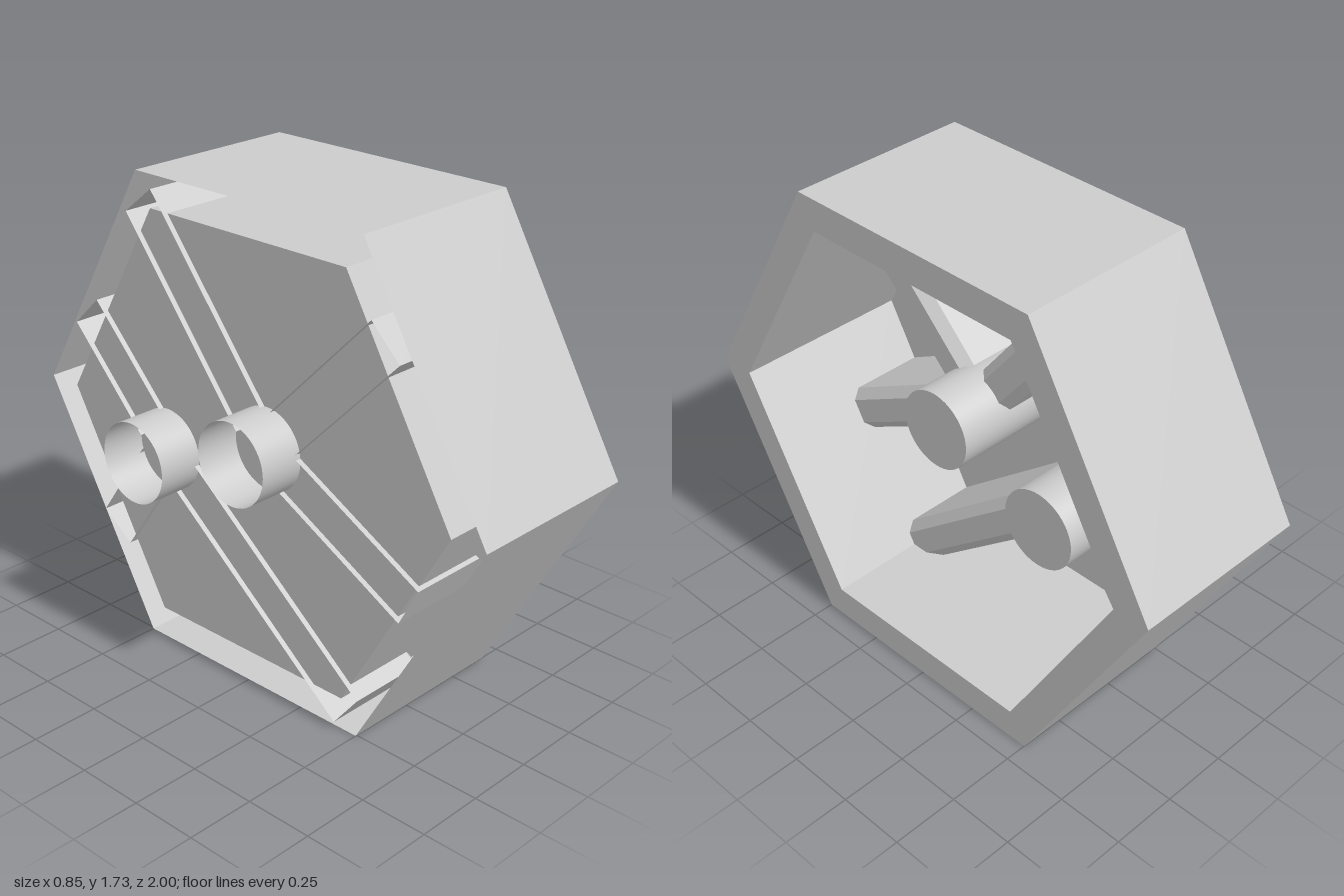
import * as THREE from 'three';

const material = new THREE.MeshStandardMaterial({ color: 0xcccccc, flatShading: true, side: THREE.DoubleSide });
const smooth = new THREE.MeshStandardMaterial({ color: 0xcccccc, side: THREE.DoubleSide });

const BACK = -0.255, FRONT = 0.42, MID_Y = 0.866;

function add(parent, name, geometry, mat = material) {
  const mesh = new THREE.Mesh(geometry, mat);
  mesh.name = name;
  parent.add(mesh);
  return mesh;
}

// Open-backed spoke with chamfered top edges, running between two [z, y] points
function spokeGeometry([z0, y0], [z1, y1]) {
  const w = 0.08, c = 0.035, base = -0.275, top = 0.06;
  const profile = [[-w, base], [-w, top - c], [-w + c, top], [w - c, top], [w, top - c], [w, base]];
  const length = Math.hypot(z1 - z0, y1 - y0);
  const dz = (z1 - z0) / length, dy = (y1 - y0) / length;
  const point = (s, [t, x]) => [x, y0 + dy * s + dz * t, z0 + dz * s - dy * t];
  const start = 0.1, positions = [];
  for (let i = 0; i < profile.length - 1; i++) {
    const a = point(start, profile[i]), b = point(start, profile[i + 1]);
    const d = point(length, profile[i]), e = point(length, profile[i + 1]);
    positions.push(...a, ...d, ...b, ...b, ...d, ...e);
  }
  // Outer end cap
  for (let i = 1; i < profile.length - 1; i++) {
    positions.push(...point(length, profile[0]), ...point(length, profile[i + 1]), ...point(length, profile[i]));
  }
  const geometry = new THREE.BufferGeometry();
  geometry.setAttribute('position', new THREE.Float32BufferAttribute(positions, 3));
  geometry.computeVertexNormals();
  return geometry;
}

export function createModel() {
  const model = new THREE.Group();
  model.name = 'hexagonalHousing';

  // Hollow hexagonal rim: outer wall, front lip, inner wall and back panel
  const section = [[1, BACK], [1, FRONT], [0.866, FRONT], [0.866, BACK], [0, BACK]]
    .map(([r, h]) => new THREE.Vector2(r, h));
  const shell = add(model, 'hexagonalShell', new THREE.LatheGeometry(section, 6));
  shell.rotation.z = -Math.PI / 2;
  shell.position.y = MID_Y;

  // Two hubs, each with three spokes; all points are [z, y]
  const hubs = [
    { centre: [0.1, 0.92], ends: [[-0.47, 1.64], [0.61, 1.43], [0.725, 0.585]] },
    { centre: [-0.375, 0.77], ends: [[-0.765, 1.18], [-0.65, 0.38], [0.47, 0.09]] },
  ];
  hubs.forEach(({ centre, ends }, i) => {
    const hub = new THREE.Group();
    hub.name = i === 0 ? 'frontHub' : 'rearHub';
    model.add(hub);

    // Tube, open at the back and closed at the front
    const r = 0.147, x0 = -0.425, x1 = 0.237;
    const tube = add(hub, 'hubTube', new THREE.CylinderGeometry(r, r, x1 - x0, 48, 1, true), smooth);
    tube.rotation.z = -Math.PI / 2;
    tube.position.set((x0 + x1) / 2, centre[1], centre[0]);
    const cap = add(hub, 'hubCap', new THREE.CircleGeometry(r, 48));
    cap.rotation.y = Math.PI / 2;
    cap.position.set(x1, centre[1], centre[0]);

    for (const end of ends) add(hub, 'spoke', spokeGeometry(centre, end));
  });

  return model;
}
